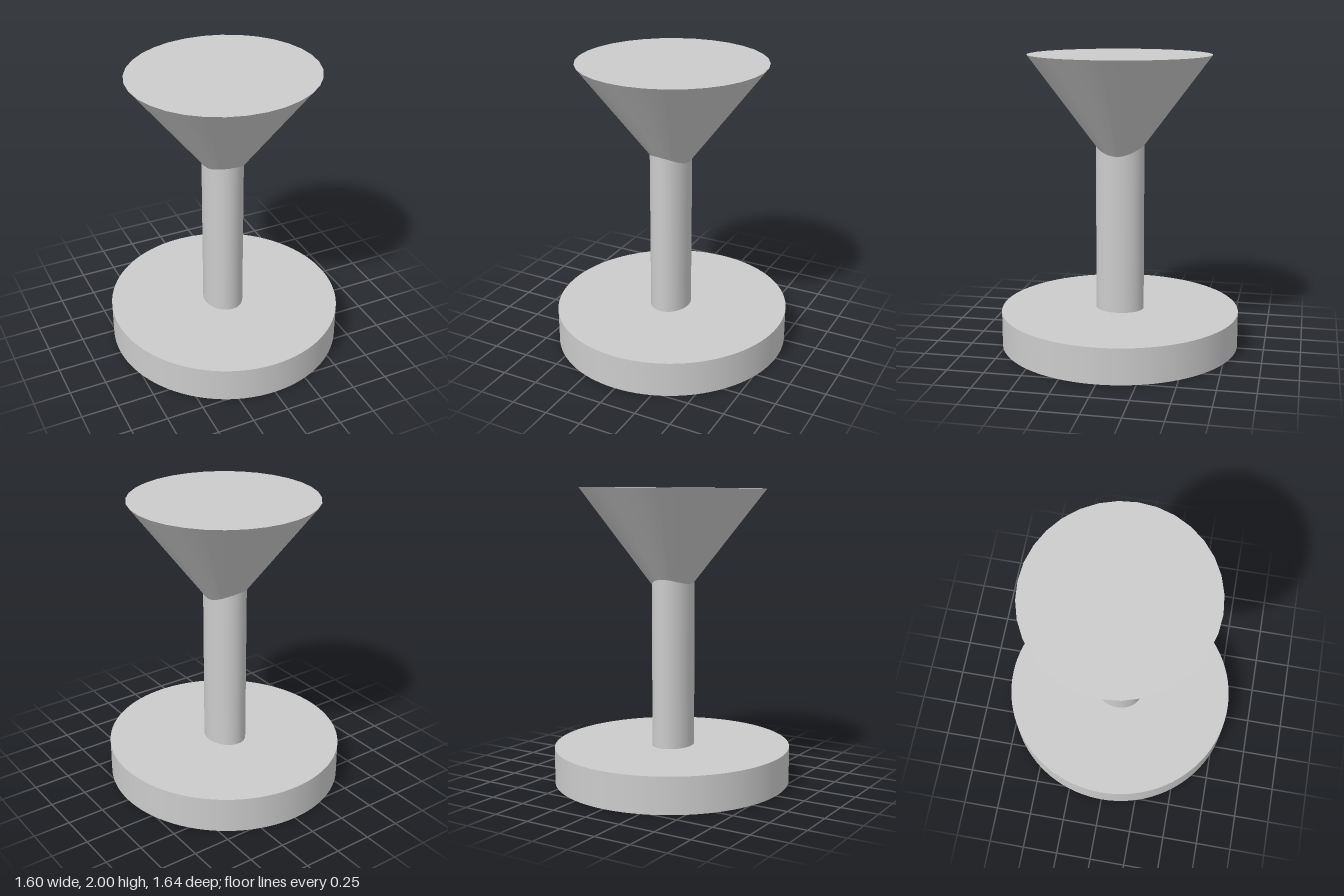
import * as THREE from 'three';

export function createModel() {
  const group = new THREE.Group();
  const material = new THREE.MeshStandardMaterial({ color: 0xcccccc });

  // Upright round part with an oval section, standing on y = bottom
  function addRound(name, rTop, rBottom, bottom, top, rx, rz, x, segments) {
    const geometry = new THREE.CylinderGeometry(rTop, rBottom, top - bottom, segments);
    geometry.scale(rx, 1, rz);
    const mesh = new THREE.Mesh(geometry, material);
    mesh.name = name;
    mesh.position.set(x, (top + bottom) / 2, 0);
    group.add(mesh);
    return mesh;
  }

  // Thick disc foot
  addRound('base', 1, 1, 0, 0.244, 0.8, 0.818, 0, 96);

  // Oval stem, slightly off centre, reaching up into the cone
  addRound('stem', 1, 1, 0.2, 1.42, 0.135, 0.165, -0.009, 48);

  // Solid inverted cone, its point hidden in the stem, leaning very slightly
  const bowl = addRound('bowl', 1, 0.004, 1.17, 1.994, 0.635, 0.614, 0.001, 32);
  bowl.rotation.z = 0.0095;

  return group;
}
